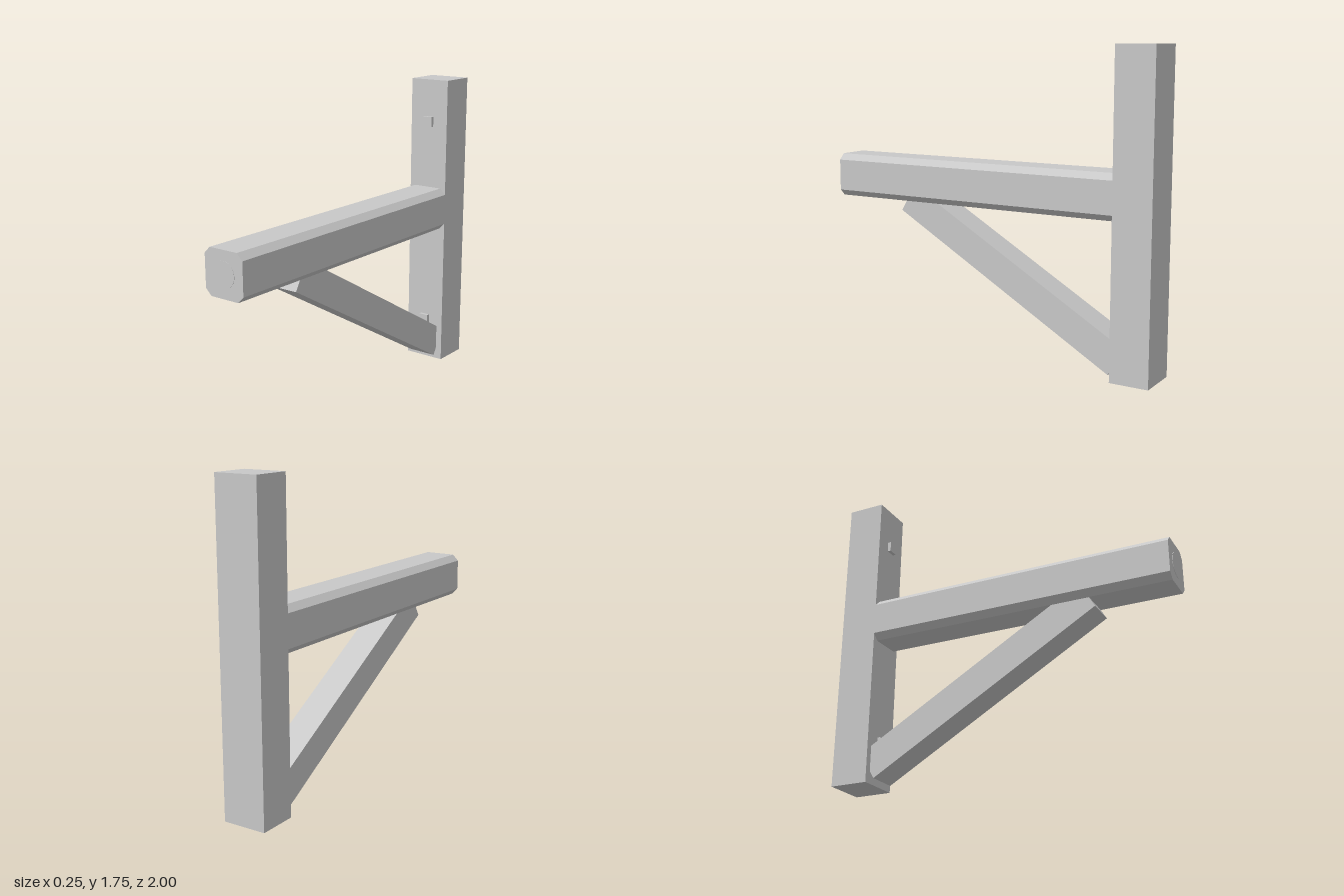
import * as THREE from 'three';

export function createModel() {
  const group = new THREE.Group();
  const grey = new THREE.MeshStandardMaterial({ color: 0xc8c8c8 });
  grey.name = 'light grey';
  grey.flatShading = true;

  const add = (name, geometry, x, y, z) => {
    const mesh = new THREE.Mesh(geometry, grey);
    mesh.name = name;
    mesh.position.set(x, y, z);
    group.add(mesh);
    return mesh;
  };

  // Upright post at the back
  add('post', new THREE.BoxGeometry(0.25, 1.75, 0.22), 0, 0.875, -0.89);

  // Horizontal beam with chamfered long edges
  const h = 0.125, c = 0.09;
  const section = new THREE.Shape([
    [-c, -h], [c, -h], [h, -c], [h, c], [c, h], [-c, h], [-h, c], [-h, -c],
  ].map(([x, y]) => new THREE.Vector2(x, y)));
  add('beam', new THREE.ExtrudeGeometry(section, { depth: 1.778, bevelEnabled: false }), 0, 0.975, -0.78);

  // Thin round plug on the beam end
  const plug = add('beamEndPlug', new THREE.CylinderGeometry(0.07, 0.07, 0.004, 24), 0, 0.975, 0.998);
  plug.rotation.x = Math.PI / 2;

  // Diagonal brace, its ends sunk into the beam and the post
  const brace = add('brace', new THREE.BoxGeometry(0.175, 0.175, 1.53), 0, 0.486, -0.136);
  brace.rotation.x = -Math.PI / 6;

  // Square pegs on the post front
  for (const y of [0.25, 1.5]) {
    add('peg', new THREE.BoxGeometry(0.06, 0.06, 0.03), 0, y, -0.775);
  }
  return group;
}
